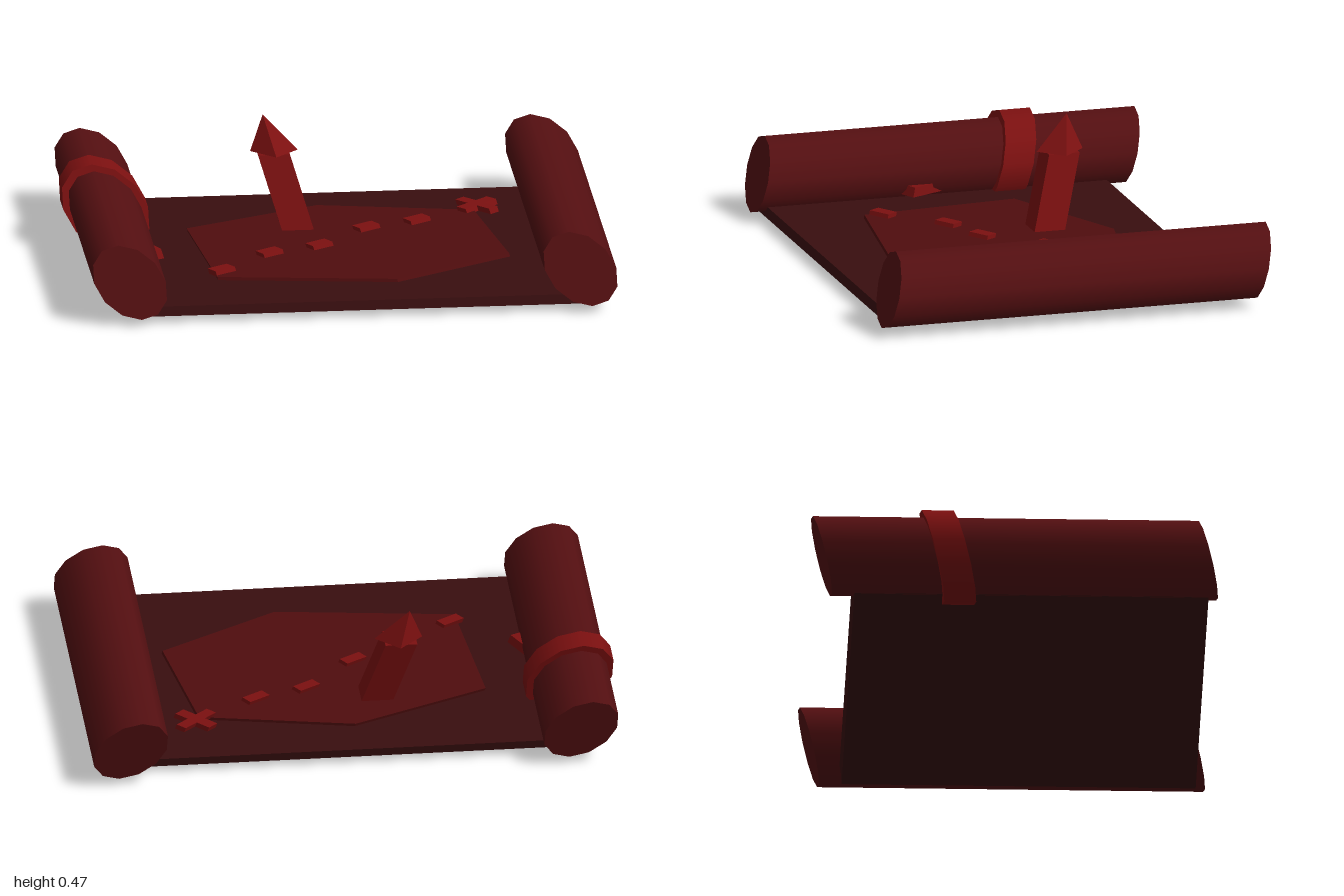
import * as THREE from 'three';

const paint = (name, color) => {
  const m = new THREE.MeshStandardMaterial({ color });
  m.name = name;
  return m;
};

export function createModel() {
  const model = new THREE.Group();
  model.name = 'treasureMap';

  const sheetMat = paint('dark parchment', 0x390e0f);
  const rollMat = paint('rolled parchment', 0x540f11);
  const islandMat = paint('island', 0x500d0e);
  const redMat = paint('bright red', 0x7c1010);

  // The whole map leans towards -x and -z as it rises
  const lean = new THREE.Matrix4().makeShear(0, 0, -0.3, -0.3, 0, 0);
  const add = (name, geometry, material, x, y, z, turn = 0) => {
    geometry.rotateY(turn).applyMatrix4(lean);
    const mesh = new THREE.Mesh(geometry, material);
    mesh.name = name;
    mesh.position.set(x, y, z);
    model.add(mesh);
  };
  const box = (w, h, d) => new THREE.BoxGeometry(w, h, d);
  const rod = (r, length) => new THREE.CylinderGeometry(r, r, length, 12).rotateX(Math.PI / 2);

  // Sheet and the two rolled ends
  add('sheet', box(1.7, 0.035, 1.33), sheetMat, 0.04, 0.043, 0.06);
  add('rightRoll', rod(0.135, 1.45), rollMat, -0.84, 0.16, 0);
  add('leftRoll', rod(0.135, 1.45), rollMat, 0.86, 0.16, 0);

  // Ribbon round one roll, with its loose tail
  add('ribbonBand', rod(0.16, 0.12), redMat, -0.84, 0.16, -0.25);
  add('ribbonTail', box(0.1, 0.035, 0.3), redMat, -0.77, 0.09, 0.05, 0.44);

  // Island plate
  const outline = [[-0.02, -0.425], [0.56, -0.31], [0.64, 0.235], [0.19, 0.505], [-0.48, 0.415], [-0.535, -0.19]];
  const shape = new THREE.Shape(outline.map(([x, z]) => new THREE.Vector2(x, -z)));
  const island = new THREE.ExtrudeGeometry(shape, { depth: 0.014, bevelEnabled: false });
  add('island', island.rotateX(-Math.PI / 2).translate(0, -0.014, 0), islandMat, 0, 0.072, 0);

  // Dashed route
  const route = [[-0.455, 0.35], [-0.255, 0.155], [-0.06, 0.08], [0.137, -0.12], [0.335, -0.19]];
  for (const [x, z] of route) add('routeDash', box(0.092, 0.02, 0.048), redMat, x, 0.077, z, 0.57);

  // Cross marking the spot
  for (const turn of [0.74, 0.74 + Math.PI / 2]) {
    add('crossBar', box(0.17, 0.02, 0.046), redMat, 0.577, 0.077, -0.345, turn);
  }

  // Tower with a pointed roof
  add('tower', box(0.12, 0.285, 0.12), redMat, -0.16, 0.2025, -0.225);
  const roof = new THREE.ConeGeometry(0.09, 0.13, 4, 1).toNonIndexed();
  roof.computeVertexNormals();
  add('towerRoof', roof, redMat, -0.217, 0.41, -0.285);

  return model;
}
